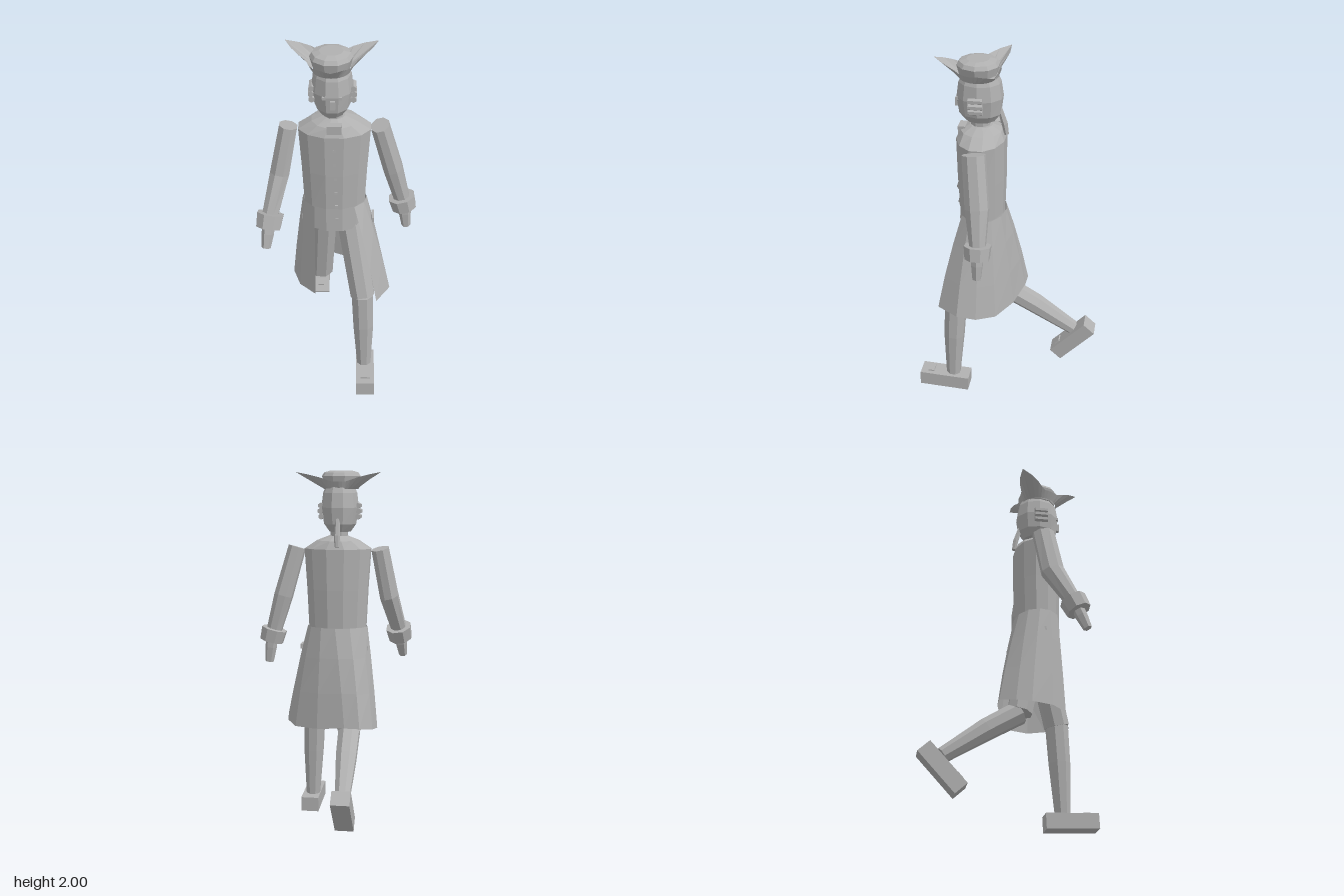
import * as THREE from 'three';

const grey = new THREE.MeshStandardMaterial({ color: 0xb0b0b0, flatShading: true });
grey.name = 'plainGrey';
const greyThin = grey; // one colour throughout
greyThin.side = THREE.DoubleSide;

const V = (x, y, z) => new THREE.Vector3(x, y, z);

// Skin a list of point rings, ordered from bottom to top
function loft(rings, closed = true, caps = true) {
  const n = rings[0].length, pos = [];
  const tri = (...ps) => ps.forEach(p => pos.push(p.x, p.y, p.z));
  for (let i = 0; i < rings.length - 1; i++) {
    for (let j = 0; j < (closed ? n : n - 1); j++) {
      const k = (j + 1) % n;
      const a = rings[i][j], b = rings[i][k], c = rings[i + 1][k], d = rings[i + 1][j];
      tri(a, b, c);
      tri(a, c, d);
    }
  }
  if (caps) {
    const mid = r => r.reduce((s, p) => s.add(p), V(0, 0, 0)).divideScalar(n);
    const lo = rings[0], hi = rings[rings.length - 1], cl = mid(lo), ch = mid(hi);
    for (let j = 0; j < n; j++) {
      const k = (j + 1) % n;
      tri(cl, lo[k], lo[j]);
      tri(ch, hi[j], hi[k]);
    }
  }
  const g = new THREE.BufferGeometry();
  g.setAttribute('position', new THREE.Float32BufferAttribute(pos, 3));
  g.computeVertexNormals();
  return g;
}

// Horizontal ellipses [y, rx, rz] stacked around a vertical axis
function stack(cx, cz, n, rows) {
  return loft(rows.map(([y, rx, rz]) => Array.from({ length: n }, (_, j) => {
    const a = (j + 0.5) / n * Math.PI * 2;
    return V(cx + Math.sin(a) * rx, y, cz + Math.cos(a) * rz);
  })));
}

// Tube along a path of [x, y, z, rx, rz], listed from the lower end upwards
function limb(path, n = 8) {
  const pts = path.map(p => V(p[0], p[1], p[2]));
  return loft(path.map((p, i) => {
    const t = pts[Math.min(i + 1, pts.length - 1)].clone().sub(pts[Math.max(i - 1, 0)]).normalize();
    const u = V(1, 0, 0).addScaledVector(t, -t.x).normalize();
    const v = u.clone().cross(t);
    return Array.from({ length: n }, (_, j) => {
      const a = (j + 0.5) / n * Math.PI * 2;
      return pts[i].clone().addScaledVector(u, Math.sin(a) * p[3])
        .addScaledVector(v, Math.cos(a) * (p[4] ?? p[3]));
    });
  }));
}

export function createModel() {
  const model = new THREE.Group();
  model.name = 'walkingFigure';
  const add = (name, geo, parent = model) => {
    const m = new THREE.Mesh(geo, grey);
    m.name = name;
    parent.add(m);
    return m;
  };
  const box = (name, w, h, d, x, y, z, parent = model) => {
    const m = add(name, new THREE.BoxGeometry(w, h, d), parent);
    m.position.set(x, y, z);
    return m;
  };

  // Coat body with sloping shoulders
  add('coatBody', stack(-0.015, 0.145, 12, [
    [1.0, 0.165, 0.125], [1.14, 0.165, 0.122], [1.35, 0.175, 0.13],
    [1.575, 0.19, 0.132], [1.62, 0.12, 0.112], [1.645, 0.055, 0.06],
  ]));
  box('cravat', 0.075, 0.055, 0.04, -0.015, 1.61, 0.245);
  for (let i = 0; i < 6; i++) {
    box('button', 0.015, 0.015, 0.012, -0.015 + i * 0.003, 1.5 - i * 0.085, 0.266);
  }

  // Open coat skirt, swept by the stride
  const hem = [
    [0.215, 0.6, 0.365], [0.29, 0.6, 0.245], [0.275, 0.58, 0.14], [0.215, 0.57, 0.04],
    [0.08, 0.58, -0.04], [-0.08, 0.6, -0.085], [-0.165, 0.6, -0.088], [-0.23, 0.58, -0.01],
    [-0.25, 0.57, 0.07], [-0.21, 0.57, 0.19], [-0.12, 0.57, 0.275],
  ].map(p => V(...p));
  const waist = hem.map((_, j) => {
    const a = (38 + j / (hem.length - 1) * 284) * Math.PI / 180;
    return V(-0.015 + Math.sin(a) * 0.17, 1.14, 0.142 + Math.cos(a) * 0.127);
  });
  const skirtRings = [1, 0.65, 0.3, 0].map(t => hem.map((h, j) => {
    const p = waist[j].clone().lerp(h, t);
    const flare = waist[j].clone().lerp(h, t + 0.25 * t * (1 - t));
    return V(flare.x, p.y, flare.z);
  }));
  add('coatSkirt', loft(skirtRings, false, false));
  for (const [x, z] of [[-0.185, 0.125], [0.19, 0.15]]) {
    box('pocketFlap', 0.012, 0.025, 0.08, x, 1.02, z);
  }

  // Head
  add('neck', stack(-0.02, 0.15, 8, [[1.6, 0.05, 0.053], [1.7, 0.05, 0.053]]));
  add('head', stack(-0.025, 0.152, 10, [
    [1.668, 0.06, 0.08], [1.71, 0.09, 0.112], [1.8, 0.105, 0.124],
    [1.88, 0.095, 0.112], [1.94, 0.07, 0.085],
  ]));
  box('nose', 0.026, 0.045, 0.03, -0.022, 1.762, 0.267);
  for (const s of [-1, 1]) {
    box('eye', 0.018, 0.015, 0.012, -0.025 + s * 0.04, 1.795, 0.264);
    // Side curls of the wig
    for (let i = 0; i < 3; i++) {
      const g = new THREE.CylinderGeometry(0.016, 0.016, 0.075, 6).rotateX(Math.PI / 2);
      add('wigCurl', g).position.set(-0.024 + s * (0.107 - Math.abs(i - 1) * 0.004), 1.75 + i * 0.03, 0.158);
    }
  }
  add('ponytail', limb([[-0.025, 1.59, 0.015, 0.013], [-0.025, 1.65, 0.025, 0.017], [-0.025, 1.74, 0.052, 0.013]], 6));

  // Hat with three upturned points
  add('hatCrown', stack(-0.03, 0.16, 10, [
    [1.9, 0.088, 0.095], [1.97, 0.108, 0.112], [1.99, 0.095, 0.098], [2.0, 0.06, 0.06],
  ]));
  const brim = [[], []];
  for (let j = 0; j < 36; j++) {
    const deg = j * 10, off = Math.abs(((deg + 60) % 120) - 60);
    const s = Math.max(0, 1 - off / 36);
    const r = 0.118 + (j < 6 || j > 30 ? 0.112 : 0.15) * Math.pow(s, 1.4);
    const x = Math.sin(deg * Math.PI / 180), z = Math.cos(deg * Math.PI / 180);
    brim[0].push(V(-0.03 + x * 0.095, 1.9, 0.16 + z * 0.1));
    brim[1].push(V(-0.03 + x * r, 1.942 + 0.05 * s, 0.16 + z * r));
  }
  add('hatBrim', loft(brim, true, false));

  // Arms: shoulder, elbow, wrist, cuff end, fingertips
  const arms = {
    leftArm: [[0.215, 1.58, 0.143], [0.29, 1.31, 0.115], [0.342, 1.12, 0.105], [0.36, 1.05, 0.105], [0.374, 0.93, 0.107]],
    rightArm: [[-0.25, 1.575, 0.143], [-0.3, 1.31, 0.18], [-0.348, 1.12, 0.275], [-0.36, 1.05, 0.305], [-0.373, 0.945, 0.345]],
  };
  for (const [name, [sh, el, wr, cu, ha]] of Object.entries(arms)) {
    const arm = new THREE.Group();
    arm.name = name;
    model.add(arm);
    add('sleeve', limb([[...wr, 0.045], [...el, 0.054, 0.066], [...sh, 0.05, 0.064]]), arm);
    add('cuff', limb([[...cu, 0.068], [...wr, 0.074]]), arm);
    const palm = cu.map((c, i) => c + (ha[i] - c) * 0.3);
    add('hand', limb([[...ha, 0.024], [...palm, 0.033], [...cu, 0.033]], 6), arm);
  }

  // Legs: hip, knee, calf, ankle, then shoe centre and pitch
  const legs = {
    leftLeg: { pts: [[0.055, 1.08, 0.15], [0.14, 0.58, 0.28], [0.148, 0.37, 0.293], [0.155, 0.09, 0.305]], shoe: [0.162, 0.05, 0.352], pitch: -0.04 },
    rightLeg: { pts: [[-0.07, 1.08, 0.14], [-0.095, 0.56, 0.03], [-0.1, 0.455, -0.145], [-0.108, 0.3, -0.37]], shoe: [-0.11, 0.225, -0.372], pitch: 0.83 },
  };
  for (const [name, { pts: [hip, knee, calf, ankle], shoe, pitch }] of Object.entries(legs)) {
    const leg = new THREE.Group();
    leg.name = name;
    model.add(leg);
    add('breeches', limb([[...knee, 0.07], [...hip, 0.075]]), leg);
    add('stocking', limb([[...ankle, 0.042], [...calf, 0.06], [...knee, 0.064]]), leg);
    const foot = new THREE.Group();
    foot.name = 'shoe';
    foot.position.set(...shoe);
    foot.rotation.x = pitch;
    leg.add(foot);
    box('shoeBody', 0.102, 0.085, 0.288, 0, 0, 0, foot);
    box('shoeBuckle', 0.055, 0.012, 0.036, 0, 0.045, 0.085, foot);
  }
  return model;
}
